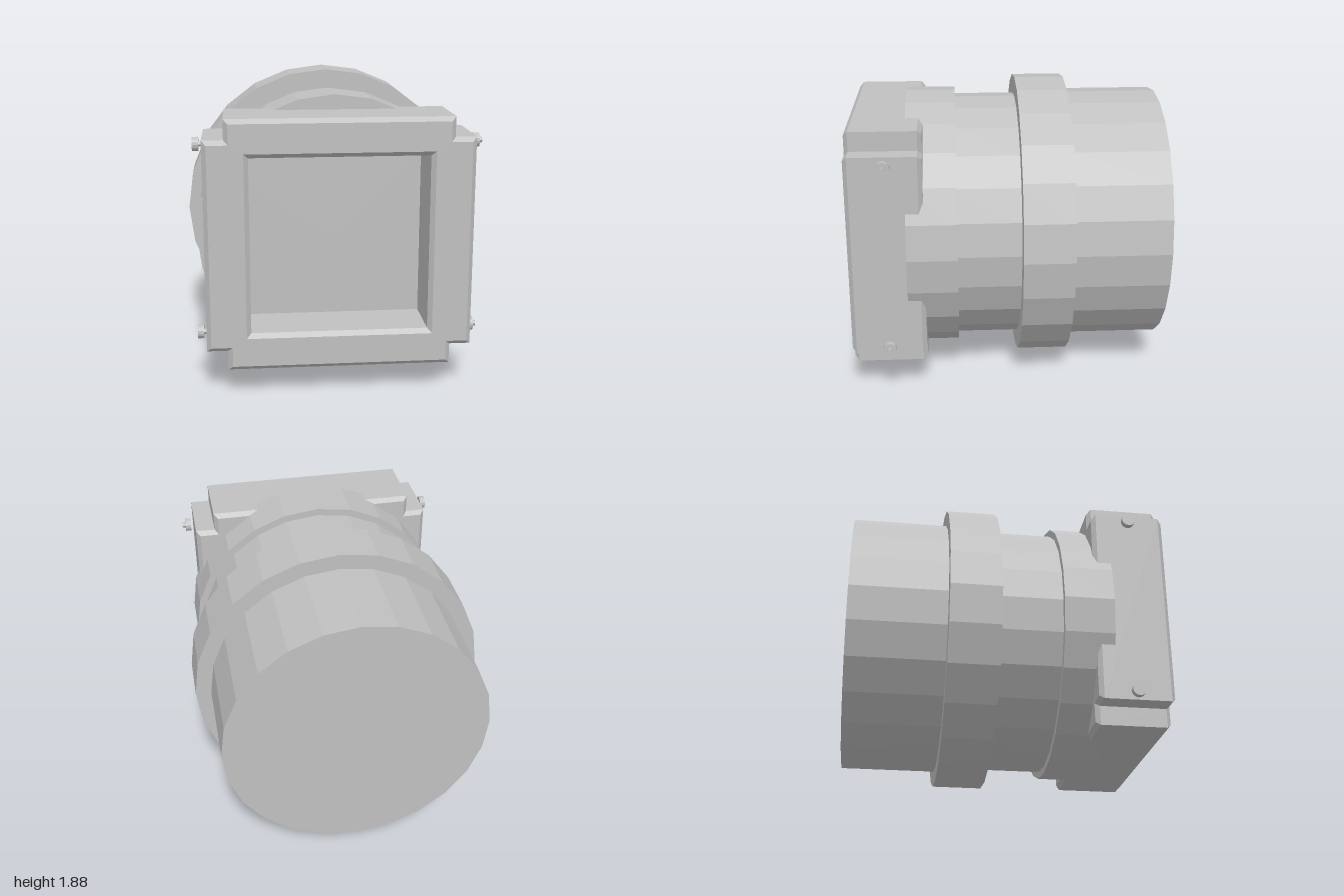
import * as THREE from 'three';

export function createModel() {
  const model = new THREE.Group();
  const grey = new THREE.MeshStandardMaterial({ color: 0xc0c0c0, flatShading: true });
  grey.name = 'plain grey';
  const CY = 0.94; // height of the barrel axis

  const add = (name, geometry, x = 0, y = 0, z = 0) => {
    const mesh = new THREE.Mesh(geometry, grey);
    mesh.name = name;
    mesh.position.set(x, y, z);
    model.add(mesh);
    return mesh;
  };

  // Stepped 24-sided barrel: name, radius, back z, front z
  const sections = [
    ['rearBarrel', 0.84, -1, -0.39],
    ['flange', 0.94, -0.39, -0.07],
    ['middleBarrel', 0.815, -0.07, 0.325],
    ['frontRing', 0.861, 0.325, 0.64],
  ];
  for (const [name, r, z0, z1] of sections) {
    const geometry = new THREE.CylinderGeometry(r, r, z1 - z0, 24).rotateX(Math.PI / 2);
    add(name, geometry, 0, CY, (z0 + z1) / 2);
  }

  // Square frame with notched corners, a bevelled rim and a window through it
  const X = 0.805, Y = 0.767, nx = 0.678, ny = 0.645, w = 0.537;
  const outline = new THREE.Shape([
    [nx, -Y], [nx, -ny], [X, -ny], [X, ny], [nx, ny], [nx, Y],
    [-nx, Y], [-nx, ny], [-X, ny], [-X, -ny], [-nx, -ny], [-nx, -Y],
  ].map(([x, y]) => new THREE.Vector2(x, y)));
  outline.holes.push(new THREE.Path(
    [[-w, -w], [-w, w], [w, w], [w, -w]].map(([x, y]) => new THREE.Vector2(x, y))));
  const bevel = 0.027, back = 0.53;
  const frame = new THREE.ExtrudeGeometry(outline, {
    depth: 1 - back - 2 * bevel,
    bevelEnabled: true,
    bevelThickness: bevel,
    bevelSize: bevel,
    bevelOffset: -bevel,
    bevelSegments: 1,
  });
  add('frontFrame', frame, 0, CY + 0.002, back + bevel);

  // Four side screws; every pin points the same way along x
  for (const x of [-0.847, 0.848]) {
    for (const y of [0.345, 1.53]) {
      add('screwHead', new THREE.CylinderGeometry(0.043, 0.043, 0.037, 16).rotateZ(Math.PI / 2), x, y, 0.76);
      add('screwPin', new THREE.CylinderGeometry(0.018, 0.018, 0.03, 6).rotateZ(Math.PI / 2), x + 0.024, y, 0.76);
    }
  }
  return model;
}
